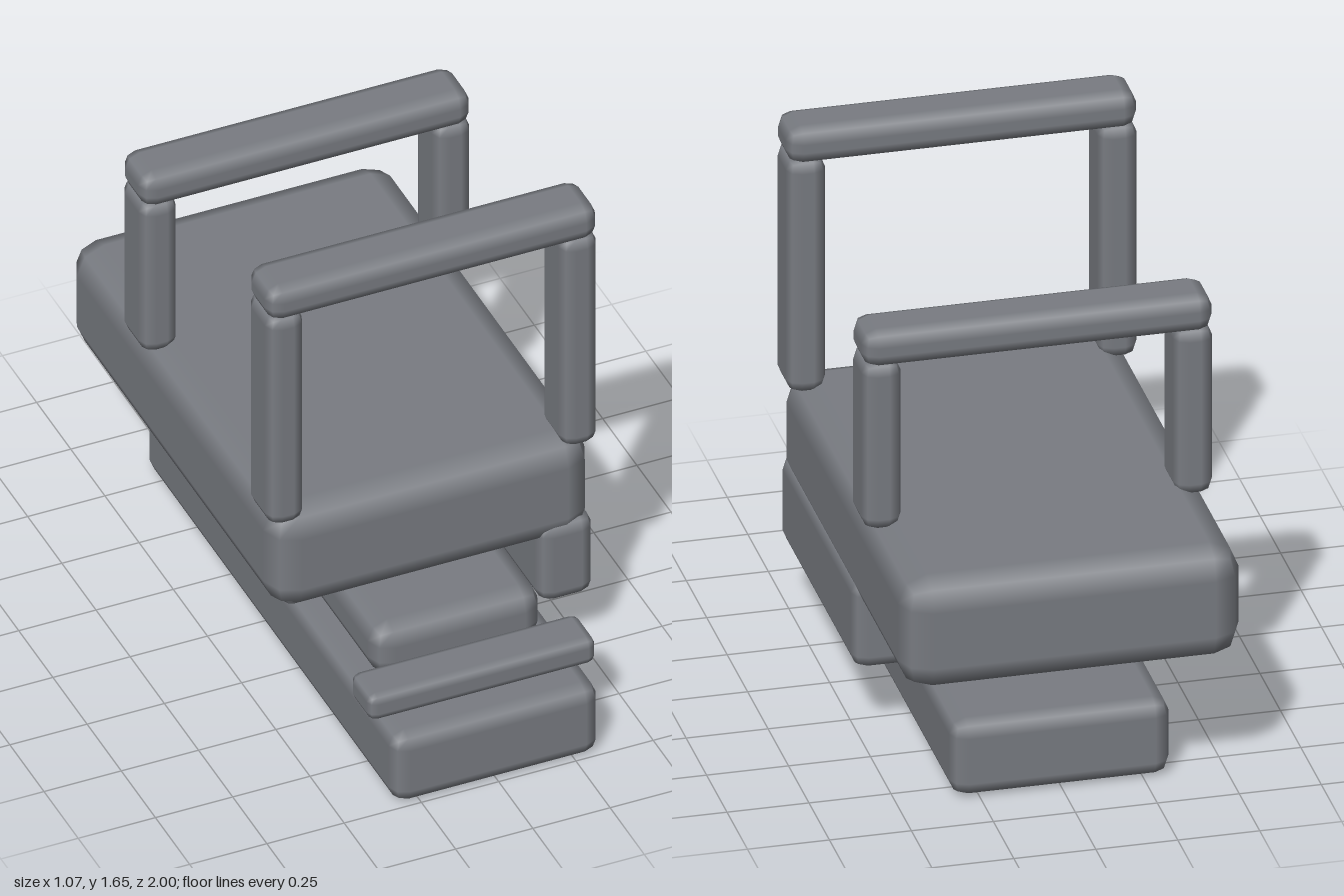
import * as THREE from 'three';
import { RoundedBoxGeometry } from 'three/addons/geometries/RoundedBoxGeometry.js';

export function createModel() {
  const model = new THREE.Group();
  model.name = 'sled';
  const grey = new THREE.MeshStandardMaterial({ color: 0x797c82 });
  grey.name = 'grey';

  // Bevelled block given by its extents along each axis
  function block(name, [x0, x1], [y0, y1], [z0, z1], bevel) {
    const geometry = new RoundedBoxGeometry(x1 - x0, y1 - y0, z1 - z0, 1, bevel);
    const mesh = new THREE.Mesh(geometry, grey);
    mesh.name = name;
    mesh.position.set((x0 + x1) / 2, (y0 + y1) / 2, (z0 + z1) / 2);
    model.add(mesh);
  }

  // Base, spacer and main deck
  block('base', [-0.335, 0.335], [0, 0.25], [-0.845, 1], 0.05);
  block('spacer', [-0.275, 0.275], [0.25, 0.435], [-0.565, 0.725], 0.065);
  block('deck', [-0.52, 0.52], [0.435, 0.8], [-1, 0.54], 0.09);

  // Box hung on the left side
  block('sideBox', [0.34, 0.52], [0.22, 0.51], [-0.38, 0.54], 0.045);

  // Evenly spaced cross slats on the base
  for (const z of [0.815, 0.2, -0.415]) {
    block('slat', [-0.368, 0.368], [0.25, 0.342], [z - 0.077, z + 0.077], 0.028);
  }

  // Tall front hoop and lower rear hoop: two posts and a top bar each
  for (const [end, z, top] of [['front', 0.448, 1.65], ['rear', -0.477, 1.43]]) {
    const depth = [z - 0.091, z + 0.091];
    block(end + 'PostLeft', [0.415, 0.535], [0.773, top - 0.1], depth, 0.042);
    block(end + 'PostRight', [-0.535, -0.415], [0.773, top - 0.1], depth, 0.042);
    block(end + 'TopBar', [-0.535, 0.535], [top - 0.12, top], depth, 0.046);
  }

  return model;
}
